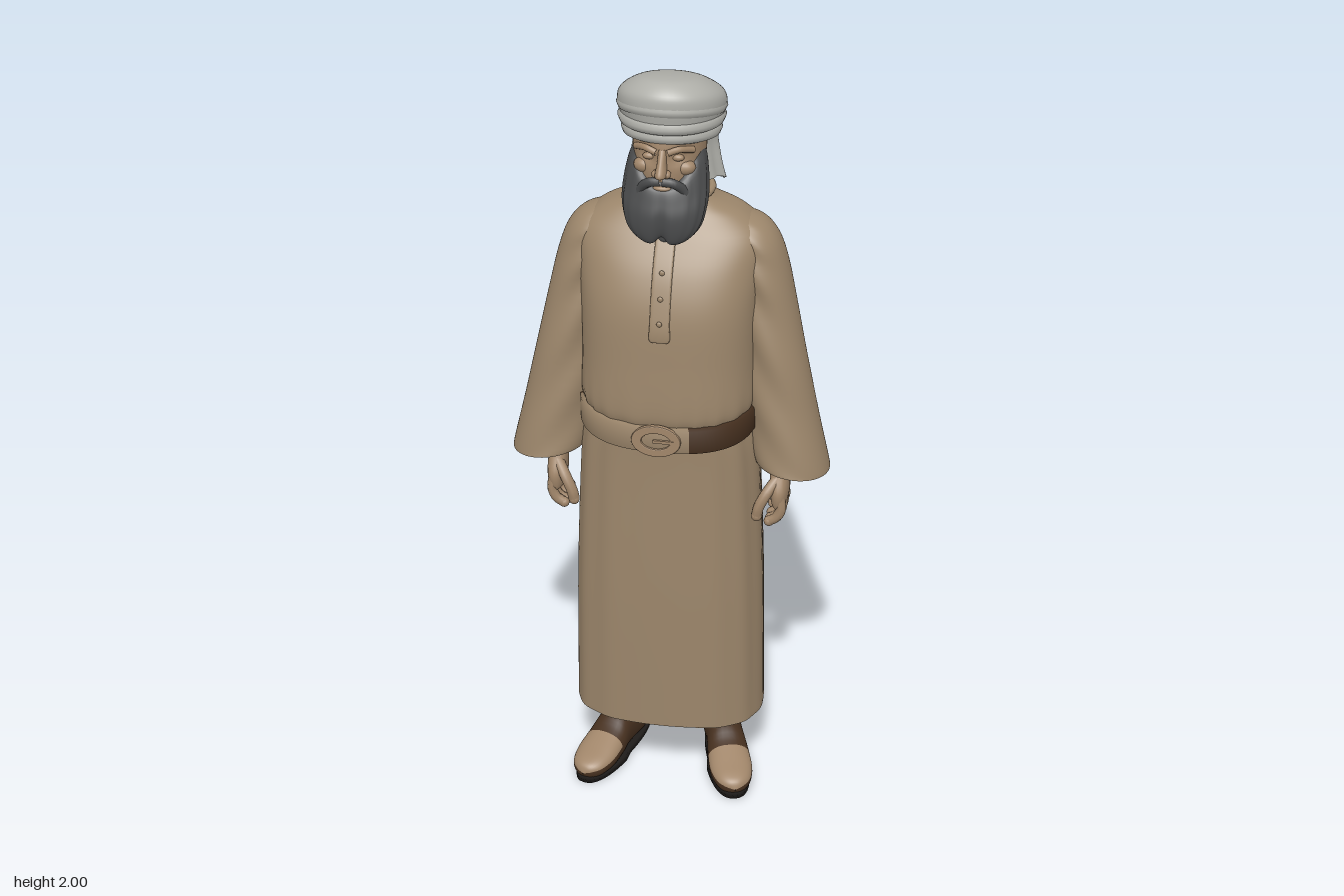
import * as THREE from 'three';

const mat = (name, color) => {
  const m = new THREE.MeshStandardMaterial({ color, side: THREE.DoubleSide });
  m.name = name;
  return m;
};

// Smooth skin over horizontal oval rings, each [y, centreX, centreZ, radiusX, radiusZ], listed upwards.
// n squares the ovals, deform moves vertices, paint(angle, u, point) picks material 0 or 1.
function loft(st, { seg = 40, sub = 5, n = 2, deform, paint } = {}) {
  const pos = [], lists = [[], []], last = st.length - 1, rows = last * sub;
  const at = i => st[Math.min(last, Math.max(0, i))];
  const pw = v => Math.sign(v) * Math.pow(Math.abs(v), 2 / n);
  for (let i = 0; i <= rows; i++) {
    const k = Math.min(last - 1, Math.floor(i / sub)), t = i / sub - k;
    const [y, cx, cz, rx, rz] = at(k).map((b, c) => {
      const a = at(k - 1)[c], d = at(k + 1)[c], e = at(k + 2)[c];
      return b + 0.5 * t * (d - a + t * (2 * a - 5 * b + 4 * d - e + t * (3 * (b - d) + e - a)));
    });
    for (let j = 0; j < seg; j++) {
      const a = j / seg * Math.PI * 2;
      const p = new THREE.Vector3(cx + Math.max(rx, 0.0005) * pw(Math.cos(a)), y, cz + Math.max(rz, 0.0005) * pw(Math.sin(a)));
      if (deform) deform(p, a, i / rows);
      pos.push(p.x, p.y, p.z);
    }
  }
  for (let i = 0; i < rows; i++) for (let j = 0; j < seg; j++) {
    const a = i * seg + j, b = i * seg + (j + 1) % seg, c = a + seg, d = b + seg;
    const mid = new THREE.Vector3(pos[a * 3], pos[a * 3 + 1], pos[a * 3 + 2]);
    const which = paint && paint((j + 0.5) / seg * Math.PI * 2, (i + 0.5) / rows, mid) ? 1 : 0;
    lists[which].push(a, c, d, a, d, b);
  }
  const g = new THREE.BufferGeometry();
  g.setAttribute('position', new THREE.Float32BufferAttribute(pos, 3));
  g.setIndex([...lists[0], ...lists[1]]);
  if (paint) {
    g.addGroup(0, lists[0].length, 0);
    g.addGroup(lists[0].length, lists[1].length, 1);
  }
  g.computeVertexNormals();
  return g;
}

const tube = (pts, r, closed = false, seg = 14) => new THREE.TubeGeometry(
  new THREE.CatmullRomCurve3(pts.map(p => new THREE.Vector3(...p)), closed), seg, r, 8, closed);

// Closed roll of cloth or leather around an oval, sloping with z
function hoop(y, cz, rx, rz, r, slope = 0) {
  const pts = [];
  for (let j = 0; j < 20; j++) {
    const a = j / 20 * Math.PI * 2, z = cz + rz * Math.sin(a);
    pts.push([rx * Math.cos(a), y + slope * z, z]);
  }
  return tube(pts, r, true, 48);
}

const ball = (x, y, z, rx, ry, rz) => new THREE.SphereGeometry(1, 16, 12).scale(rx, ry, rz).translate(x, y, z);
const bump = (x, w) => Math.exp(-(x * x) / (w * w));

export function createModel() {
  const model = new THREE.Group();
  const cloth = mat('tan cloth', 0x9c866b), skin = mat('skin', 0xa1866a), hair = mat('grey hair', 0x4a4b4c);
  const linen = mat('pale linen', 0xb0b0aa), leather = mat('brown leather', 0x46301f), black = mat('black sole', 0x1f1c1a);
  const add = (name, geo, m, parent = model) => {
    const mesh = new THREE.Mesh(geo, m);
    mesh.name = name;
    parent.add(mesh);
    return mesh;
  };

  // Robe: long skirt with soft folds, bloused top
  add('skirt', loft([
    [0.205, 0, -0.013, 0.25, 0.17], [0.23, 0, -0.013, 0.249, 0.171], [0.6, 0, -0.01, 0.243, 0.174],
    [0.95, 0, -0.008, 0.228, 0.17], [1.06, 0, -0.004, 0.215, 0.167], [1.13, 0, -0.003, 0.205, 0.163],
  ], { seg: 96, sub: 6, n: 2.7, deform: (p, a, u) => {
    const f = 1 + 0.014 * (0.35 + 0.65 * u) * (Math.sin(a * 13) + 0.6 * Math.sin(a * 7 + 1));
    p.x *= f; p.z *= f;
  } }), cloth);
  add('torso', loft([
    [1.10, 0, 0, 0.2, 0.16], [1.12, 0, -0.002, 0.214, 0.175], [1.16, 0, -0.004, 0.224, 0.181], [1.26, 0, -0.008, 0.222, 0.179],
    [1.4, 0, -0.013, 0.225, 0.172], [1.5, 0, -0.026, 0.232, 0.152], [1.58, 0, -0.036, 0.232, 0.114],
    [1.63, 0, -0.045, 0.18, 0.085], [1.66, 0, -0.046, 0.112, 0.068], [1.69, 0, -0.04, 0.078, 0.056],
  ], { seg: 96, n: 2.6, deform: (p, a, u) => {
    const f = 1 + 0.014 * Math.max(0, 1 - u * 3.2) * Math.sin(a * 22 + Math.sin(a * 5));
    p.x *= f; p.z *= f;
  } }), cloth);
  add('collar', hoop(1.672, -0.042, 0.095, 0.062, 0.01, -0.25), cloth);
  add('placket', loft([
    [1.352, 0, 0.163, 0.001, 0.001], [1.353, 0, 0.163, 0.025, 0.008], [1.4, 0, 0.158, 0.025, 0.008], [1.5, 0, 0.125, 0.025, 0.009],
    [1.58, 0, 0.078, 0.025, 0.009], [1.64, 0, 0.03, 0.025, 0.009],
  ], { seg: 24, n: 5 }), cloth);
  for (const [y, z] of [[1.4, 0.167], [1.46, 0.15], [1.52, 0.126]]) add('button', ball(0, y, z, 0.007, 0.007, 0.004), cloth);

  // Belt, leather on the left and part of the right, cloth elsewhere
  const slope = -0.16;
  add('belt', loft([
    [1.078, 0, 0, 0.212, 0.17], [1.08, 0, 0, 0.229, 0.187], [1.142, 0, 0, 0.229, 0.187], [1.144, 0, 0, 0.212, 0.17],
  ], { seg: 96, sub: 1, n: 2.5, deform: p => { p.y += slope * p.z; },
    paint: a => a < 1.3 || a > 5.2 || Math.abs(a - 3.2) < 0.3 }), [cloth, leather]);
  const frame = new THREE.Shape().absellipse(0, 0, 0.06, 0.041, 0, Math.PI * 2);
  frame.holes.push(new THREE.Path().absellipse(0, 0, 0.04, 0.025, 0, Math.PI * 2, true));
  add('buckle', new THREE.ExtrudeGeometry(frame, { depth: 0.006, bevelSize: 0.003, bevelThickness: 0.003, bevelSegments: 2, curveSegments: 20 })
    .translate(-0.005, 1.083, 0.183), skin);
  add('bucklePin', new THREE.BoxGeometry(0.055, 0.008, 0.006).translate(0.015, 1.083, 0.19), skin);

  for (const s of [1, -1]) {
    const side = s > 0 ? 'left' : 'right';

    // Wide sleeve
    add(side + 'Sleeve', loft([
      [0.955, 0.316, 0.002, 0.096, 0.101], [0.975, 0.312, 0.001, 0.096, 0.1], [1.1, 0.288, -0.005, 0.09, 0.09],
      [1.25, 0.264, -0.012, 0.081, 0.085], [1.4, 0.24, -0.025, 0.073, 0.083], [1.5, 0.222, -0.034, 0.068, 0.083],
      [1.57, 0.202, -0.038, 0.062, 0.075], [1.61, 0.18, -0.042, 0.045, 0.052], [1.63, 0.16, -0.045, 0.001, 0.001],
    ].map(([y, x, ...r]) => [y, s * x, ...r]), { seg: 64, deform: (p, a, u) => {
      const out = s * Math.cos(a), w = 0.004 * Math.sin(u * 34 + out * 4) * Math.max(0, Math.sin(u * Math.PI)) * (0.5 - 0.5 * out);
      p.z += Math.sin(a) * w * 2;
      p.x += Math.cos(a) * w;
      p.y -= 0.012 * out * Math.max(0, 1 - u * 3);
    } }), cloth);

    // Hand with curled fingers
    const hand = new THREE.Group();
    hand.name = side + 'Hand';
    model.add(hand);
    add('palm', loft([
      [0.845, s * 0.288, 0.036, 0.006, 0.04], [0.86, s * 0.29, 0.036, 0.02, 0.05], [0.9, s * 0.29, 0.037, 0.025, 0.052],
      [0.95, s * 0.288, 0.03, 0.025, 0.036], [1.0, s * 0.285, 0.015, 0.027, 0.032], [1.15, s * 0.27, -0.01, 0.035, 0.04],
    ], { seg: 24, n: 2.4 }), skin, hand);
    for (let i = 0; i < 4; i++) {
      const z = -0.004 + i * 0.026, low = 0.806 + [0.014, 0.002, 0, 0.006][i];
      add('finger', tube([[s * 0.295, 0.885, z], [s * 0.298, 0.85, z + 0.002], [s * 0.288, low + 0.015, z + 0.002], [s * 0.268, low, z]], 0.0135), skin, hand);
      add('fingertip', ball(s * 0.268, low, z, 0.0135, 0.0135, 0.0135), skin, hand);
    }
    add('thumb', tube([[s * 0.285, 0.93, 0.06], [s * 0.26, 0.895, 0.085], [s * 0.243, 0.86, 0.092], [s * 0.238, 0.835, 0.09]], 0.0145), skin, hand);
    add('thumbTip', ball(s * 0.238, 0.835, 0.09, 0.0145, 0.016, 0.0145), skin, hand);

    // Boot, splayed outwards, with a pale toe cap
    const boot = new THREE.Group();
    boot.name = side + 'Boot';
    boot.position.set(s * 0.15, 0, 0);
    boot.rotation.y = s * 0.3;
    model.add(boot);
    add('foot', loft([
      [-0.166, 0, -0.045, 0.001, 0.001], [-0.155, 0, -0.045, 0.035, 0.035], [-0.1, 0, -0.058, 0.049, 0.052], [0, 0, -0.065, 0.05, 0.058],
      [0.06, 0, -0.051, 0.056, 0.044], [0.12, 0, -0.041, 0.057, 0.034], [0.165, 0, -0.035, 0.045, 0.027], [0.187, 0, -0.032, 0.024, 0.018], [0.195, 0, -0.03, 0.001, 0.001],
    ], { seg: 32, n: 2.3, paint: (a, u, p) => p.y > 0.065 && Math.sin(a) < -0.25 }).rotateX(Math.PI / 2), [leather, skin], boot);
    add('shaft', loft([
      [0.05, 0, -0.09, 0.045, 0.06], [0.1, 0, -0.075, 0.053, 0.083], [0.14, 0, -0.08, 0.054, 0.073],
      [0.2, 0, -0.082, 0.06, 0.074], [0.34, 0, -0.07, 0.064, 0.075],
    ], { seg: 32, deform: (p, a, u) => { p.x += 0.004 * Math.sin(u * 26 + a) * Math.cos(a); p.z += 0.004 * Math.sin(u * 26 + a) * Math.sin(a); } }), leather, boot);
    add('ankleStrap', hoop(0.105, -0.072, 0.052, 0.082, 0.009, -0.12), leather, boot);
    add('sole', loft([
      [0, 0, 0.015, 0.001, 0.001], [0, 0, 0.015, 0.058, 0.178], [0.02, 0, 0.015, 0.058, 0.178], [0.02, 0, 0.015, 0.001, 0.001],
    ], { sub: 1, n: 2.4, deform: p => { if (p.z < 0.03) p.x *= 0.86; } }), black, boot);

    // Paired facial features
    add(side + 'Brow', tube([[s * 0.014, 1.838, 0.125], [s * 0.04, 1.846, 0.117], [s * 0.07, 1.836, 0.086]], 0.0085), skin);
    add(side + 'Eye', ball(s * 0.035, 1.82, 0.104, 0.016, 0.009, 0.01), skin);
    add(side + 'Cheek', ball(s * 0.048, 1.79, 0.088, 0.028, 0.02, 0.022), skin);
    add(side + 'Moustache', tube([[s * 0.002, 1.766, 0.132], [s * 0.03, 1.762, 0.13], [s * 0.052, 1.74, 0.116], [s * 0.062, 1.715, 0.112]], 0.012), hair);
    add(side + 'Nostril', ball(s * 0.013, 1.786, 0.132, 0.011, 0.01, 0.013), skin);
  }

  // Head and neck
  add('head', loft([
    [1.6, 0, -0.035, 0.062, 0.05], [1.66, 0, -0.025, 0.06, 0.06], [1.7, 0, 0.01, 0.066, 0.085], [1.75, 0, 0.016, 0.08, 0.104],
    [1.8, 0, 0.012, 0.088, 0.112], [1.85, 0, 0.008, 0.09, 0.114], [1.9, 0, 0, 0.09, 0.11],
  ], { seg: 64, deform: p => {
    if (p.z > 0) p.z -= 0.014 * bump(Math.abs(p.x) - 0.036, 0.018) * bump(p.y - 1.82, 0.016);
  } }), skin);
  add('nose', loft([
    [1.776, 0, 0.118, 0.004, 0.006], [1.783, 0, 0.135, 0.014, 0.026], [1.795, 0, 0.135, 0.014, 0.029],
    [1.815, 0, 0.124, 0.011, 0.023], [1.845, 0, 0.114, 0.01, 0.012],
  ], { seg: 20 }), skin);
  add('lowerLip', ball(0, 1.746, 0.124, 0.022, 0.007, 0.011), skin);

  // Full beard, rising to the ears and lightly forked below
  add('beard', loft([
    [1.6, 0, 0.118, 0.001, 0.001], [1.603, 0, 0.118, 0.05, 0.026], [1.63, 0, 0.105, 0.088, 0.048], [1.67, 0, 0.088, 0.103, 0.066],
    [1.705, 0, 0.062, 0.103, 0.083], [1.738, 0, 0.04, 0.094, 0.092], [1.745, 0, 0.03, 0.08, 0.085],
  ], { seg: 72, deform: (p, a, u) => {
    const lift = Math.min(1, Math.pow(Math.cos(a), 2) + (Math.sin(a) < 0 ? 1 : 0));
    p.y += 0.09 * lift * u * u + 0.022 * bump(p.x, 0.016) * (1 - u);
    p.z -= 0.012 * bump(p.x, 0.014) * (1 - u) * Math.max(0, Math.sin(a));
    const w = 1 + 0.02 * Math.sin(a * 18 + u * 5) * Math.sin(u * Math.PI);
    p.x *= w;
  } }), hair);
  add('chestHair', ball(0, 1.597, 0.075, 0.02, 0.02, 0.012), hair);

  // Turban with neck cloth and wrapped rolls
  add('neckCloth', loft([
    [1.695, 0, -0.078, 0.122, 0.054], [1.74, 0, -0.074, 0.113, 0.057], [1.8, 0, -0.072, 0.105, 0.064], [1.87, 0, -0.06, 0.1, 0.072],
  ], { seg: 72, sub: 8, deform: (p, a, u) => {
    const f = 0.005 * (1 - u) * Math.sin(a * 11);
    p.x += f * Math.cos(a); p.z += f * Math.sin(a);
    p.y += 0.012 * (1 - u) * Math.sin(a * 3);
  }, paint: (a, u) => u < 0.62 + 0.1 * Math.sin(a * 9) && u > 0.2 && a > 4.85 && a < 5.5 }), [linen, hair]);
  add('turban', loft([
    [1.832, 0, -0.008, 0.085, 0.1], [1.84, 0, -0.01, 0.108, 0.122], [1.885, 0, -0.014, 0.124, 0.137], [1.925, 0, -0.016, 0.133, 0.143],
    [1.955, 0, -0.01, 0.122, 0.13], [1.982, 0, 0.002, 0.082, 0.088], [1.991, 0, 0.01, 0.04, 0.042], [1.993, 0, 0.014, 0.0005, 0.0005],
  ], { seg: 56, deform: p => { p.y += 0.2 * p.z; } }), linen);
  add('lowerWrap', hoop(1.855, -0.012, 0.106, 0.12, 0.017, 0.14), linen);
  add('middleWrap', hoop(1.886, -0.014, 0.114, 0.126, 0.018, 0.08), linen);
  add('upperWrap', hoop(1.915, -0.015, 0.117, 0.128, 0.018, 0.22), linen);

  return model;
}
